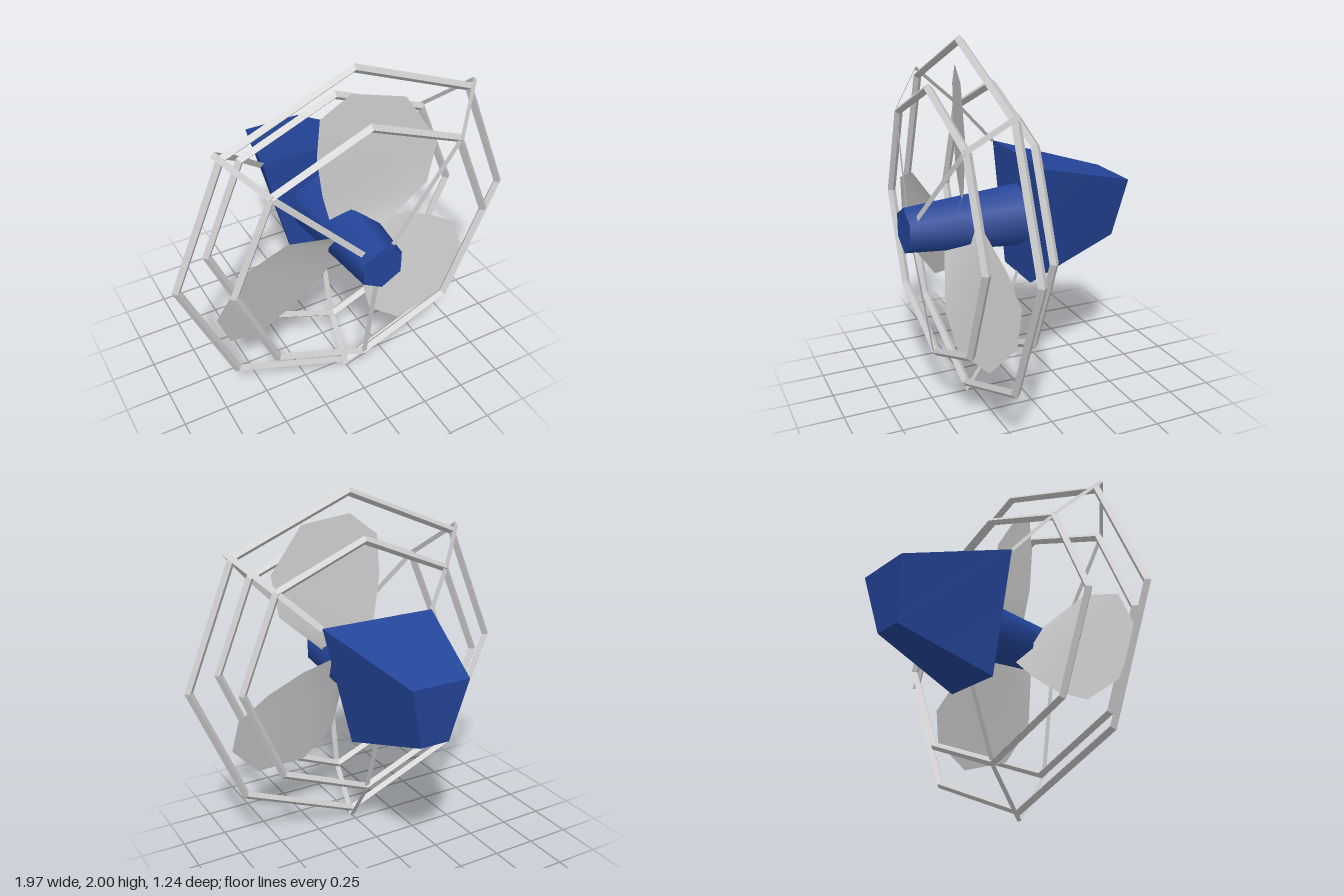
import * as THREE from 'three';

const grey = new THREE.MeshStandardMaterial({ color: 0xcccccc, flatShading: true });
const sheet = new THREE.MeshStandardMaterial({ color: 0xcccccc, side: THREE.DoubleSide });
const ribbon = new THREE.MeshStandardMaterial({ color: 0xcccccc, side: THREE.DoubleSide, flatShading: true });
const blue = new THREE.MeshStandardMaterial({ color: 0x24459a });

// Thin sheet joining rows of [left point, right point]
function strip(rows) {
  const index = [];
  for (let i = 0; i < rows.length - 1; i++) {
    const a = 2 * i;
    index.push(a, a + 1, a + 3, a, a + 3, a + 2);
  }
  const geo = new THREE.BufferGeometry();
  geo.setAttribute('position', new THREE.Float32BufferAttribute(rows.flat(2), 3));
  geo.setIndex(index);
  geo.computeVertexNormals();
  return geo;
}

// Blade pointing up, with more pitch towards the root
function bladeGeometry() {
  const left = [[-0.05, 0], [-0.1, 0.08], [-0.15, 0.27], [-0.18, 0.5], [-0.165, 0.72], [-0.02, 0.84]];
  const right = [[0.05, 0], [0.13, 0.06], [0.37, 0.28], [0.41, 0.525], [0.24, 0.79], [0.1, 0.817]];
  const pitch = ([x, y]) => [x, y, 0.32 + x * (0.27 + 0.4 * Math.max(0, 1 - y / 0.3))];
  return strip(left.map((p, i) => [pitch(p), pitch(right[i])]));
}

// Flat guard strut pointing up, running over the three rings from motor to nose
function strutGeometry(rootRadius) {
  const path = [[rootRadius, -0.025], [0.755, 0.12], [1.012, 0.295], [0.745, 0.48], [0.12, 0.575]];
  return strip(path.map(([r, z]) => [[-0.016, r, z], [0.016, r, z]]));
}

export function createModel() {
  const model = new THREE.Group();
  const fan = new THREE.Group();
  fan.name = 'fan';
  fan.position.y = 1.015;
  model.add(fan);

  const add = (name, geo, material, angle = 0) => {
    const mesh = new THREE.Mesh(geo, material);
    mesh.name = name;
    mesh.rotation.z = angle;
    fan.add(mesh);
    return mesh;
  };

  // Octagonal guard rings with a diamond section
  for (const [name, radius, z] of [['frontRing', 0.732, 0.465], ['middleRing', 0.961, 0.295], ['rearRing', 0.732, 0.122]]) {
    add(name, new THREE.TorusGeometry(radius, 0.024, 4, 8), grey).position.z = z;
  }

  // Blades and struts, three of each
  const blade = bladeGeometry();
  for (let i = 0; i < 3; i++) add('blade', blade, sheet, i * Math.PI * 2 / 3);
  add('leftStrut', strutGeometry(0.475), ribbon, -Math.PI / 4);
  add('rightStrut', strutGeometry(0.475), ribbon, Math.PI / 4);
  add('bottomStrut', strutGeometry(0.335), ribbon, Math.PI);

  // Tapered six-sided hub
  const hub = new THREE.CylinderGeometry(0.125, 0.18, 0.645, 6).rotateX(Math.PI / 2);
  add('hub', hub, blue).position.z = 0.3;

  // Motor housing: narrower below and towards the back
  const housing = new THREE.BoxGeometry(2, 2, 2);
  const p = housing.attributes.position;
  for (let i = 0; i < p.count; i++) {
    const top = p.getY(i) > 0, front = p.getZ(i) > 0;
    const scale = front ? 1 : 0.5;
    p.setXYZ(i,
      p.getX(i) * (top ? 0.335 : 0.17) * scale,
      p.getY(i) * 0.34 * scale,
      front ? -0.025 : top ? -0.62 : -0.575);
  }
  housing.computeVertexNormals();
  add('motorHousing', housing, blue);

  return model;
}
